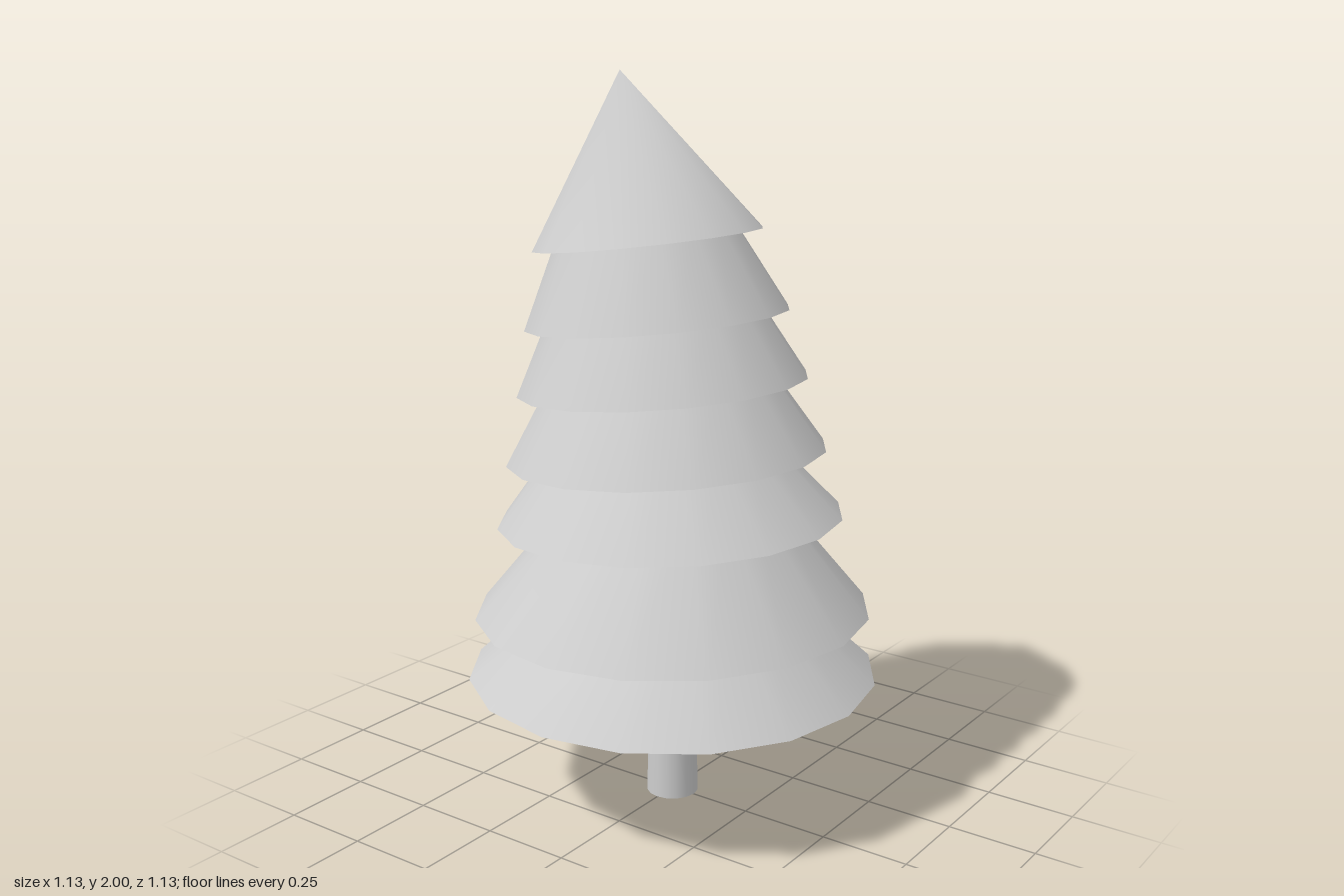
import * as THREE from 'three';

const SIDES = 16;

// Ring of points whose left and right ends (on x) are given; it tilts between them.
function ring([xl, yl], [xr, yr]) {
  const r = Math.hypot(xr - xl, yr - yl) / 2;
  const points = [];
  for (let i = 0; i < SIDES; i++) {
    const a = (i / SIDES) * Math.PI * 2;
    const t = (Math.cos(a) + 1) / 2;
    points.push(xl + (xr - xl) * t, yl + (yr - yl) * t, r * Math.sin(a));
  }
  return points;
}

// Smooth sloping side between a ring and either a second ring or a single apex.
function sideGeometry(bottom, top) {
  const index = [];
  const pointed = top.length === 3;
  for (let i = 0; i < SIDES; i++) {
    const j = (i + 1) % SIDES;
    if (pointed) index.push(i, SIDES, j);
    else index.push(i, SIDES + i, j, j, SIDES + i, SIDES + j);
  }
  return build([...bottom, ...top], index);
}

// Flat underside of a tier.
function undersideGeometry(bottom) {
  const index = [];
  for (let i = 1; i < SIDES - 1; i++) index.push(0, i, i + 1);
  return build(bottom, index);
}

function build(positions, index) {
  const g = new THREE.BufferGeometry();
  g.setAttribute('position', new THREE.Float32BufferAttribute(positions, 3));
  g.setIndex(index);
  g.computeVertexNormals();
  return g;
}

// Push a point further along a slope so it ends inside the tier above.
const extend = (a, b, k = 1.2) => [a[0] + (b[0] - a[0]) * k, a[1] + (b[1] - a[1]) * k];

// Each tier: base left, base right, slope left, slope right (x, y)
const TIERS = [
  [[-0.567, 0.37], [0.567, 0.37], [-0.38, 0.545], [0.365, 0.555]],
  [[-0.545, 0.54], [0.545, 0.56], [-0.335, 0.795], [0.32, 0.83]],
  [[-0.48, 0.79], [0.465, 0.835], [-0.36, 0.965], [0.285, 1.01]],
  [[-0.455, 0.96], [0.415, 1.02], [-0.36, 1.145], [0.275, 1.205]],
  [[-0.425, 1.145], [0.36, 1.215], [-0.355, 1.33], [0.24, 1.385]],
  [[-0.405, 1.32], [0.305, 1.395], [-0.335, 1.53], [0.17, 1.59]],
  [[-0.387, 1.525], [0.227, 1.605]],
];
const APEX = [-0.17, 2, 0];

export function createModel() {
  const model = new THREE.Group();
  model.name = 'tree';
  const grey = new THREE.MeshStandardMaterial({ color: 0xcccccc });
  grey.name = 'light grey';

  // Trunk
  const trunk = new THREE.Mesh(new THREE.CylinderGeometry(0.064, 0.073, 0.4, 16), grey);
  trunk.name = 'trunk';
  trunk.position.y = 0.2;
  model.add(trunk);

  // Foliage tiers, tilting more towards the tip
  TIERS.forEach(([bl, br, tl, tr], n) => {
    const tier = new THREE.Group();
    tier.name = `foliageTier${n + 1}`;
    const bottom = ring(bl, br);
    const top = tl ? ring(extend(bl, tl), extend(br, tr)) : APEX;
    const side = new THREE.Mesh(sideGeometry(bottom, top), grey);
    side.name = 'slope';
    const underside = new THREE.Mesh(undersideGeometry(bottom), grey);
    underside.name = 'underside';
    tier.add(side, underside);
    model.add(tier);
  });
  return model;
}
